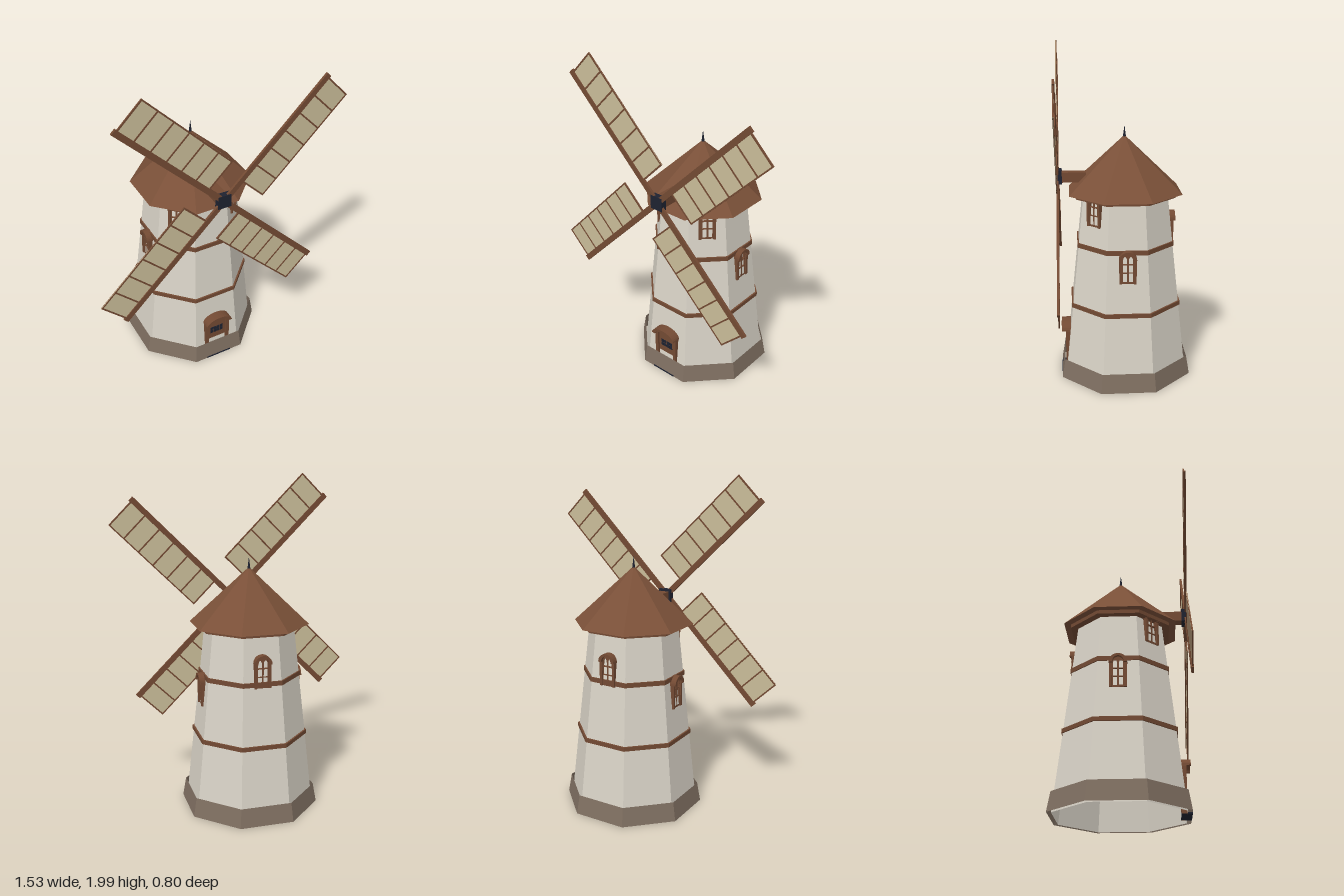
import * as THREE from 'three';

const mat = (name, color, side = THREE.FrontSide) => {
  const m = new THREE.MeshStandardMaterial({ color, side });
  m.name = name;
  return m;
};

export function createModel() {
  const plaster = mat('plaster', 0xd9d3c7, THREE.DoubleSide);
  const stone = mat('stone', 0x7f6f61, THREE.DoubleSide);
  const timber = mat('timber', 0x734a33);
  const roofing = mat('roofing', 0x7a5038);
  const canvas = mat('canvas', 0xc9bc98);
  const iron = mat('iron', 0x1e2230);

  const model = new THREE.Group();
  model.name = 'windmill';
  const tower = new THREE.Group();
  tower.name = 'tower';
  tower.position.z = -0.008;
  model.add(tower);

  const add = (parent, name, geo, material, x = 0, y = 0, z = 0) => {
    const m = new THREE.Mesh(geo, material);
    m.name = name;
    m.position.set(x, y, z);
    parent.add(m);
    return m;
  };
  const box = (parent, name, material, w, h, d, x, y, z) =>
    add(parent, name, new THREE.BoxGeometry(w, h, d), material, x, y, z);

  // Eight-sided faceted shell; profile radii are measured to the flat sides
  const K = Math.cos(Math.PI / 8);
  const faceted = (geo) => {
    const g = geo.toNonIndexed();
    g.computeVertexNormals();
    return g;
  };
  const octagon = (profile) => faceted(new THREE.LatheGeometry(
    profile.map(([r, y]) => new THREE.Vector2(r / K, y)), 8, Math.PI / 8));
  const ring = (name, r, y0, y1, inner) => add(tower, name,
    octagon([[r, y0], [r, y1], [inner, y1], [inner, y0], [r, y0]]), timber);
  const wallAt = (y) => 0.366 - 0.1035 * y;

  // Tower body
  add(tower, 'wall', octagon([[wallAt(0), 0], [wallAt(1.15), 1.15]]), plaster);
  add(tower, 'stoneBase', octagon([[0.391, 0], [0.372, 0.115]]), stone);
  ring('lowerBand', 0.327, 0.45, 0.475, 0.314);
  ring('middleBand', 0.287, 0.823, 0.85, 0.275);
  ring('eavesBand', 0.292, 1.118, 1.145, 0.24);

  // Roof and spike
  add(tower, 'roof', faceted(new THREE.ConeGeometry(0.332 / K, 0.335, 8, 1, false, Math.PI / 8)),
    roofing, 0, 1.14 + 0.1675, 0);
  add(tower, 'roofSpike', new THREE.ConeGeometry(0.011, 0.085, 8), iron, 0, 1.4925, 0);

  // Arched outlines for doors and windows
  const RISE = 0.05;
  const archBand = (w, h, t, y0) => {
    const s = new THREE.Shape(), spring = h - RISE, a = w / 2, b = a - t;
    s.moveTo(-a, y0);
    s.lineTo(-a, spring);
    s.absellipse(0, spring, a, RISE, Math.PI, 0, true);
    s.lineTo(a, y0);
    s.lineTo(b, y0);
    s.lineTo(b, spring);
    s.absellipse(0, spring, b, RISE - t * 0.7, 0, Math.PI, false);
    s.lineTo(-b, y0);
    return s;
  };
  const arch = (Type, cx, w, y0, h, rise) => {
    const s = new Type();
    s.moveTo(cx - w / 2, y0);
    s.lineTo(cx - w / 2, h - rise);
    s.absellipse(cx, h - rise, w / 2, rise, Math.PI, 0, true);
    s.lineTo(cx + w / 2, y0);
    s.closePath();
    return s;
  };
  const slab = (parent, name, shape, material, z0, z1) => add(parent, name,
    new THREE.ExtrudeGeometry(shape, { depth: z1 - z0, bevelEnabled: false, curveSegments: 8 }),
    material, 0, 0, z0);

  // Arched windows with twin lights, set upright on a tower side
  const addWindow = (angle, y) => {
    const g = new THREE.Group();
    g.name = 'window';
    g.rotation.y = angle;
    g.position.y = y;
    tower.add(g);
    const z = wallAt(y), H = 0.195;
    slab(g, 'windowFrame', archBand(0.1, H, 0.016, 0), timber, z - 0.03, z + 0.011);
    slab(g, 'windowHood', archBand(0.104, H + 0.002, 0.02, H - RISE), timber, z - 0.03, z + 0.022);
    const tracery = arch(THREE.Shape, 0, 0.075, 0, H - 0.01, 0.04);
    for (const s of [-1, 1]) tracery.holes.push(arch(THREE.Path, s * 0.017, 0.023, 0.012, H - 0.03, 0.025));
    slab(g, 'windowTracery', tracery, timber, z - 0.025, z + 0.003);
    for (const by of [0.065, 0.115]) box(g, 'glazingBar', timber, 0.07, 0.005, 0.025, 0, by, z - 0.011);
  };
  addWindow(Math.PI / 2, 0.655);
  addWindow(-Math.PI / 2, 0.655);
  addWindow(Math.PI, 0.815);
  addWindow(Math.PI / 4, 0.97);
  addWindow(-Math.PI / 4, 0.97);

  // Door
  const door = new THREE.Group();
  door.name = 'door';
  tower.add(door);
  slab(door, 'doorLeaf', arch(THREE.Shape, 0, 0.13, 0, 0.3, 0.04), timber, 0.34, 0.353);
  slab(door, 'doorFrame', archBand(0.168, 0.315, 0.022, 0), timber, 0.335, 0.367);
  slab(door, 'doorHood', archBand(0.176, 0.32, 0.024, 0.27), timber, 0.333, 0.392);
  box(door, 'doorStep', iron, 0.165, 0.008, 0.06, 0, 0.004, 0.363);
  for (let i = 0; i < 4; i++) for (let j = 0; j < 2; j++) {
    box(door, 'doorPane', iron, 0.019, 0.021, 0.004, (i - 1.5) * 0.023, 0.182 + j * 0.025, 0.354);
  }

  // Axle and hub
  box(model, 'axle', timber, 0.06, 0.06, 0.16, 0, 1.228, 0.3);
  box(model, 'hub', iron, 0.082, 0.082, 0.036, 0, 1.23, 0.382);

  // Four identical sails, each built upright with cloth on its clockwise side
  const Z = 0.39, IN = 0.145, OUT = 0.873, W = 0.208;
  for (let k = 0; k < 4; k++) {
    const sail = new THREE.Group();
    sail.name = 'sail';
    sail.position.set(0, 1.23, Z);
    sail.rotation.z = Math.PI / 4 + k * Math.PI / 2;
    model.add(sail);
    const len = OUT - IN, mid = (IN + OUT) / 2;
    box(sail, 'spar', timber, 0.034, 0.885, 0.014, 0, 0.4425, 0);
    box(sail, 'sailCloth', canvas, W, len, 0.003, W / 2, mid, 0);
    box(sail, 'sailEdge', timber, 0.008, len, 0.008, W - 0.004, mid, 0);
    for (let i = 0; i <= 6; i++) {
      const end = i === 0 ? 0.004 : i === 6 ? -0.004 : 0;
      box(sail, 'sailBatten', timber, W - 0.002, 0.009, 0.008, W / 2, IN + (len * i) / 6 + end, 0);
    }
  }
  // The upright sail template points along +y, so turn each one back to the diagonals
  return model;
}
